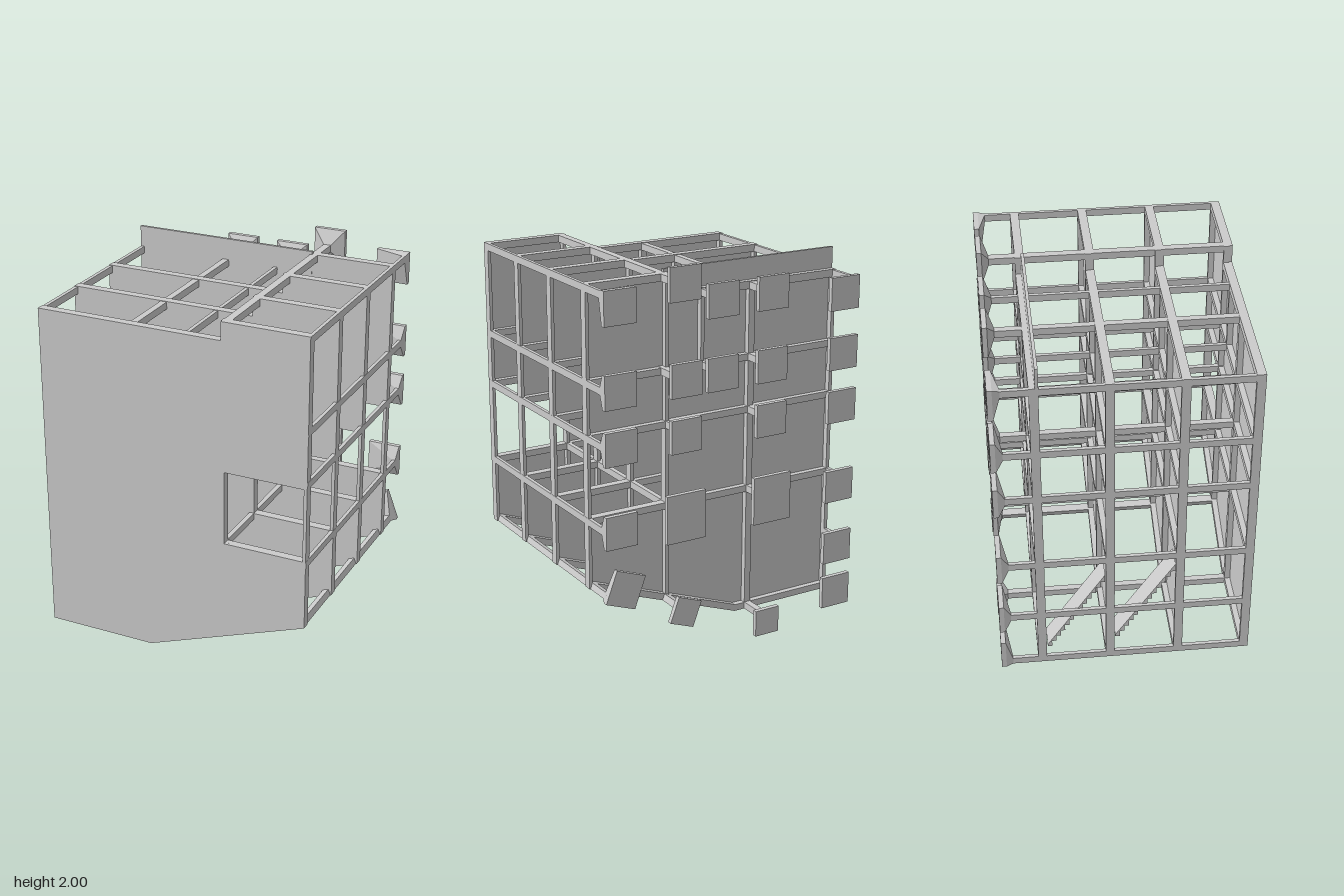
import * as THREE from 'three';

const material = new THREE.MeshStandardMaterial({ color: 0xcccccc, side: THREE.DoubleSide });
const SLOPE = Math.atan2(0.32, 0.855);
const FRAME_Z = [0.645, 0.295, -0.06, -0.413]; // front face of each cross wall
const DEPTH = 0.045, SKIN = 0.015;
const BEAM_END = -0.59, PLATE_FRONT = -0.625, PLATE_BACK = -0.65;

function add(parent, name, geometry) {
  const mesh = new THREE.Mesh(geometry, material);
  mesh.name = name;
  parent.add(mesh);
  return mesh;
}

// box given by its limits
function block(parent, name, [x0, x1, y0, y1], z0, z1) {
  const g = new THREE.BoxGeometry(x1 - x0, y1 - y0, z1 - z0);
  g.translate((x0 + x1) / 2, (y0 + y1) / 2, (z0 + z1) / 2);
  return add(parent, name, g);
}

// long beam that flares into a square end plate at the back
function cappedBeam(parent, beam, cap) {
  block(parent, 'longBeam', beam, BEAM_END, FRAME_Z[0] - 0.003);
  block(parent, 'endPlate', cap, PLATE_BACK, PLATE_FRONT);
  const g = new THREE.BoxGeometry(1, 1, 1);
  const p = g.attributes.position;
  for (let i = 0; i < p.count; i++) {
    const front = p.getZ(i) > 0;
    const r = front ? beam : cap;
    p.setXYZ(i, r[p.getX(i) > 0 ? 1 : 0], r[p.getY(i) > 0 ? 3 : 2], front ? BEAM_END : PLATE_FRONT);
  }
  g.computeVertexNormals();
  add(parent, 'flaredEnd', g);
}

// wall outline with the stepped top, sloped bottom and square opening
function wallShape() {
  const shape = new THREE.Shape([
    [-0.725, 0.07], [-0.14, 0.07], [0.715, 0.39], [0.715, 1.925],
    [0.265, 1.925], [0.265, 1.83], [-0.725, 1.83],
  ].map(([x, y]) => new THREE.Vector2(x, y)));
  shape.holes.push(new THREE.Path([
    [0.28, 0.76], [0.28, 1.15], [0.698, 1.15], [0.698, 0.76],
  ].map(([x, y]) => new THREE.Vector2(x, y))));
  return shape;
}

// ribs behind every wall skin: x0, x1, y0, y1
const RIBS = [
  [-0.725, -0.705, 0.07, 1.83], [0.698, 0.715, 0.39, 1.925],  // outer posts
  [-0.235, -0.2, 0.07, 1.83], [0.26, 0.28, 0.222, 1.925],     // inner posts
  [0.06, 0.08, 1.44, 1.83],                                   // short post
  [-0.725, -0.14, 0.07, 0.105],                               // sill
  [-0.725, 0.715, 0.725, 0.76], [-0.725, 0.715, 1.15, 1.185],
  [-0.725, 0.715, 1.425, 1.46],
  [-0.725, 0.28, 1.79, 1.83], [0.265, 0.715, 1.888, 1.925],   // top rails
];

function crossWall(z) {
  const wall = new THREE.Group();
  wall.name = 'crossWall';
  const skin = new THREE.ExtrudeGeometry(wallShape(), { depth: SKIN, bevelEnabled: false });
  add(wall, 'wallSkin', skin).position.z = -SKIN;
  for (const r of RIBS) block(wall, 'wallRib', r, -DEPTH, -SKIN);
  // rail along the sloped bottom
  const rail = block(wall, 'slopedRail', [0, Math.hypot(0.855, 0.32) - 0.01, 0, 0.035], -DEPTH, -SKIN);
  rail.position.set(-0.14, 0.07, 0);
  rail.rotation.z = SLOPE;
  wall.position.z = z;
  return wall;
}

// flight with a smooth top and a stepped underside, descending to the back
function stairFlight(z, y, run, rise) {
  const n = 13, dx = run / n, dy = rise / n, t = 0.012;
  const s = new THREE.Shape();
  s.moveTo(0, 0);
  s.lineTo(run, -rise);
  s.lineTo(run, -rise - t);
  for (let i = n - 1; i >= 0; i--) {
    s.lineTo(i * dx, -(i + 1) * dy - t);
    s.lineTo(i * dx, -i * dy - t);
  }
  const g = new THREE.ExtrudeGeometry(s, { depth: 0.12, bevelEnabled: false });
  g.rotateY(Math.PI / 2); // shape x runs towards -z, depth towards +x
  const flight = new THREE.Mesh(g, material);
  flight.name = 'stairFlight';
  flight.position.set(-0.71, y, z);
  return flight;
}

export function createModel() {
  const model = new THREE.Group();
  model.name = 'gridBuilding';

  for (const z of FRAME_Z) model.add(crossWall(z));

  // thin parapet over the rear wall
  block(model, 'parapet', [-0.725, 0.275, 1.82, 1.94], FRAME_Z[3] - SKIN, FRAME_Z[3] + 0.001);

  const beams = new THREE.Group();
  beams.name = 'beams';
  model.add(beams);

  // right-hand edge column: beam bottom, cap bottom
  for (const [y, c] of [[0.07, 0.06], [0.38, 0.31], [0.725, 0.65], [1.15, 1.08], [1.425, 1.36], [1.79, 1.668]])
    cappedBeam(beams, [-0.725, -0.705, y, y + 0.037], [-0.733, -0.563, c, c + 0.17]);

  // left-hand edge column
  for (const [y, c] of [[0.725, 0.66], [1.15, 1.08], [1.425, 1.36], [1.888, 1.762]])
    cappedBeam(beams, [0.698, 0.716, y, y + 0.037], [0.55, 0.722, c, c + 0.17]);

  // inner columns: beam x0, x1, bottom; cap centre x, y, half width, half height
  for (const [x0, x1, y, cx, cy, w, h] of [
    [-0.235, -0.2, 0.07, -0.215, 0.07, 0.07, 0.07],
    [-0.235, -0.2, 0.725, -0.23, 0.745, 0.11, 0.125],
    [-0.235, -0.2, 1.15, -0.217, 1.165, 0.087, 0.085],
    [-0.235, -0.2, 1.425, -0.217, 1.445, 0.087, 0.085],
    [-0.235, -0.2, 1.79, -0.217, 1.81, 0.087, 0.085],
    [0.06, 0.08, 1.425, 0.07, 1.445, 0.087, 0.085],
    [0.06, 0.08, 1.79, 0.07, 1.81, 0.087, 0.085],
    [0.255, 0.28, 0.725, 0.275, 0.745, 0.11, 0.125],
    [0.255, 0.28, 1.15, 0.275, 1.165, 0.085, 0.085],
    [0.265, 0.305, 1.425, 0.275, 1.445, 0.085, 0.085],
    [0.265, 0.305, 1.888, 0.285, 1.915, 0.085, 0.085],
  ]) cappedBeam(beams, [x0, x1, y, y + 0.037], [cx - w, cx + w, cy - h, cy + h]);

  // tilted beams along the sloped bottom
  for (const [x, beam, cap] of [
    [0.28, [-0.02, 0.02, 0, 0.035], [-0.07, 0.07, -0.058, 0.082]],
    [0.715, [-0.036, -0.004, 0.002, 0.035], [-0.16, 0.01, -0.01, 0.165]],
  ]) {
    const tilted = new THREE.Group();
    tilted.name = 'tiltedBeam';
    tilted.position.set(x, 0.07 + (x + 0.14) * Math.tan(SLOPE), 0);
    tilted.rotation.z = SLOPE;
    cappedBeam(tilted, beam, cap);
    beams.add(tilted);
  }

  // two stair flights inside the right-hand side
  model.add(stairFlight(0.25, 0.675, 0.305, 0.465));
  model.add(stairFlight(-0.107, 0.635, 0.3, 0.46));

  return model;
}
